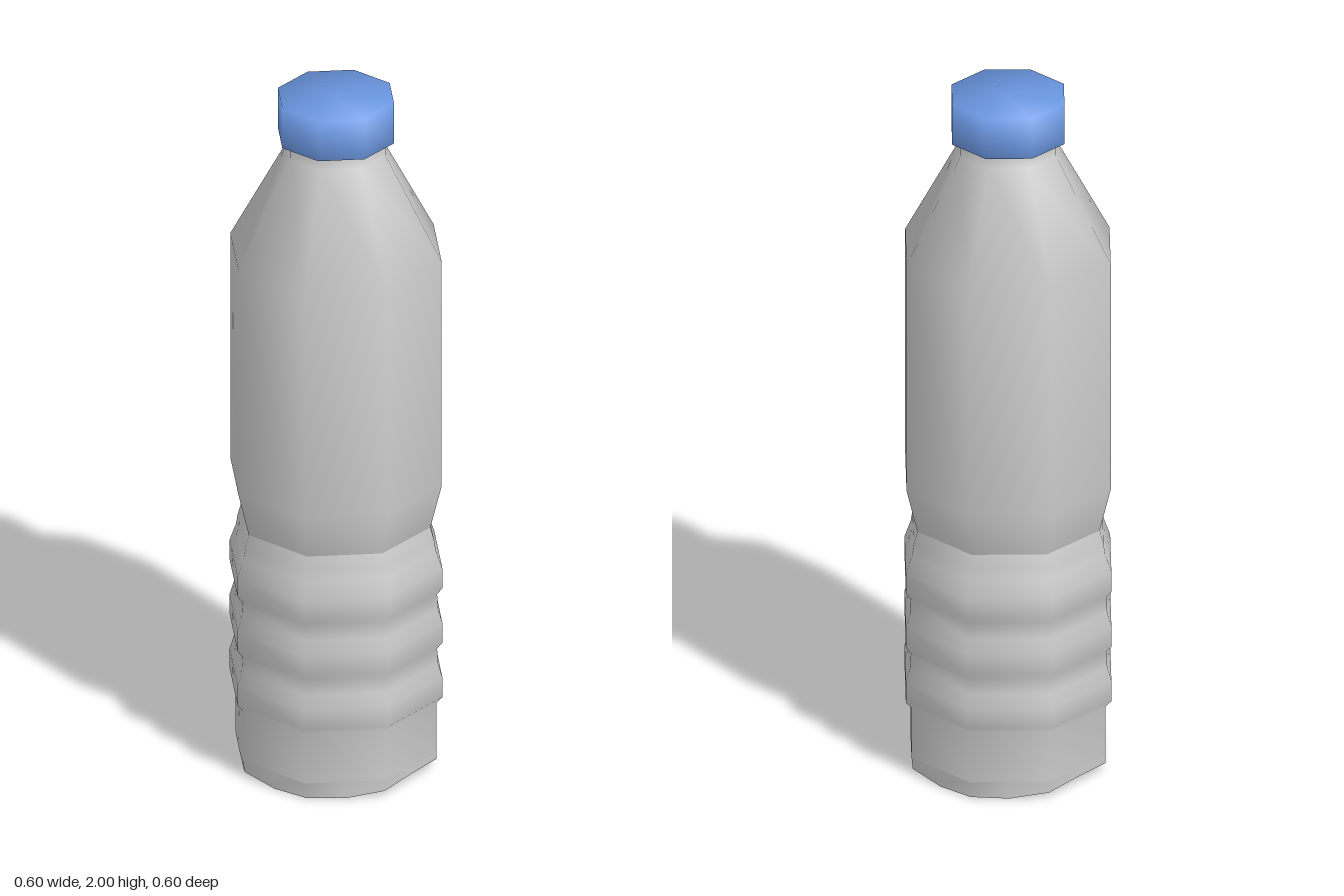
import * as THREE from 'three';
import { mergeVertices } from 'three/addons/utils/BufferGeometryUtils.js';

const grey = new THREE.MeshStandardMaterial({ color: 0xcccccc });
const facetedGrey = new THREE.MeshStandardMaterial({ color: 0xcccccc, flatShading: true });
const blue = new THREE.MeshStandardMaterial({ color: 0x6a96e0 });

const SIDES = 8;
const FOOT_SIDES = 16;
const BASE_R = 0.285;
const BASE_TOP = 0.05;

function lathe(name, profile, material) {
  const points = profile.map(([r, y]) => new THREE.Vector2(r, y));
  const mesh = new THREE.Mesh(new THREE.LatheGeometry(points, SIDES), material);
  mesh.name = name;
  return mesh;
}

// Point on the wavy foot edge: lowest towards front and back, raised at the sides
function footPoint(i) {
  const a = (i / FOOT_SIDES) * Math.PI * 2;
  const s = Math.abs(Math.sin(a));
  const r = i % 2 ? BASE_R * Math.cos(Math.PI / SIDES) : BASE_R - 0.012 * (1 - s);
  const y = 0.03 * Math.max(0, (s - 0.39) / 0.61);
  return [Math.sin(a) * r, y, Math.cos(a) * r];
}

// Matching point on the octagonal lower edge of the wall
function wallPoint(i) {
  const a = (i / FOOT_SIDES) * Math.PI * 2;
  const r = i % 2 ? BASE_R * Math.cos(Math.PI / SIDES) : BASE_R;
  return [Math.sin(a) * r, BASE_TOP, Math.cos(a) * r];
}

function triangles(name, corners, material) {
  let geometry = new THREE.BufferGeometry();
  geometry.setAttribute('position', new THREE.Float32BufferAttribute(corners.flat(), 3));
  geometry = mergeVertices(geometry);
  geometry.computeVertexNormals();
  const mesh = new THREE.Mesh(geometry, material);
  mesh.name = name;
  return mesh;
}

export function createModel() {
  const group = new THREE.Group();
  group.name = 'bottle';

  // Ribbed lower wall: three raised bands
  const lower = [[BASE_R, BASE_TOP], [BASE_R, 0.2]];
  for (const y of [0.22, 0.385, 0.55]) {
    lower.push([0.302, y], [0.302, y + 0.06], [0.29, y + 0.1], [0.287, y + 0.145]);
  }
  lower.splice(-2, 2, [0.284, 0.66], [0.279, 0.69], [0.268, 0.73]);
  group.add(lathe('ribbedLowerBody', lower, grey));

  // Plain upper wall, shoulder and neck
  group.add(lathe('upperBody', [
    [0.268, 0.73], [0.3, 0.86], [0.3, 1.54], [0.14, 1.84], [0.14, 1.89],
  ], grey));

  // Closed cap
  group.add(lathe('cap', [
    [0.13, 1.88], [0.165, 1.88], [0.165, 2], [0, 2],
  ], blue));

  // Foot rim and raised underside
  const rim = [];
  const underside = [];
  for (let i = 0; i < FOOT_SIDES; i++) {
    const a = footPoint(i), b = footPoint(i + 1);
    const c = wallPoint(i), d = wallPoint(i + 1);
    rim.push(a, b, d, a, d, c);
    underside.push(b, a, [0, 0.035, 0]);
  }
  group.add(triangles('footRim', rim, grey));
  group.add(triangles('underside', underside, facetedGrey));

  return group;
}
